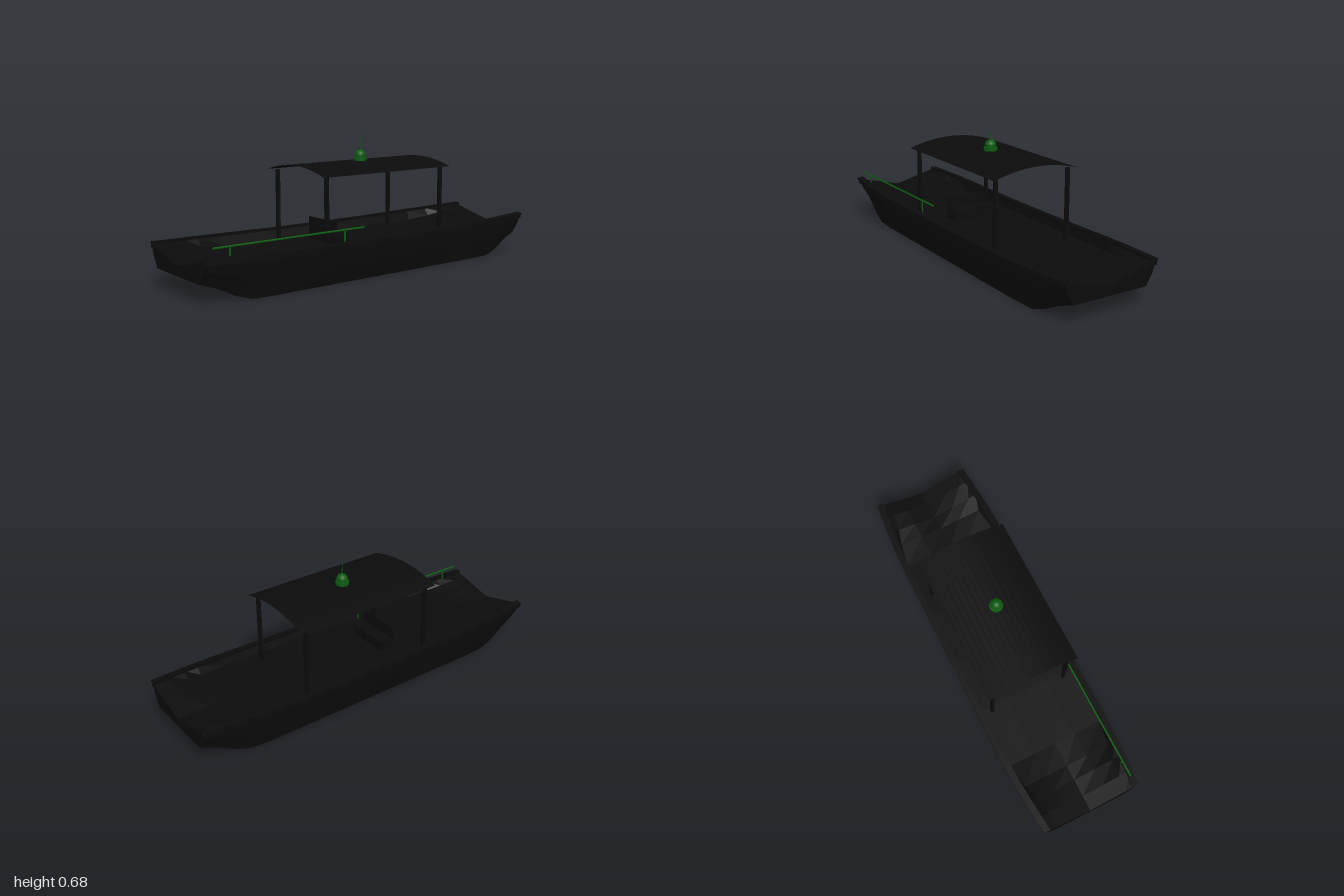
import * as THREE from 'three';

const dark = new THREE.MeshStandardMaterial({ color: 0x0b0b0b, side: THREE.DoubleSide, flatShading: true });
const green = new THREE.MeshStandardMaterial({ color: 0x0b5a10 });

function add(parent, name, geometry, material, x = 0, y = 0, z = 0) {
  const mesh = new THREE.Mesh(geometry, material);
  mesh.name = name;
  mesh.position.set(x, y, z);
  parent.add(mesh);
  return mesh;
}

// Joins cross-sections (arrays of Vector3 of equal length) into a surface
function loft(sections) {
  const n = sections[0].length, pos = [], idx = [];
  for (const s of sections) for (const p of s) pos.push(p.x, p.y, p.z);
  for (let i = 0; i < sections.length - 1; i++) {
    for (let j = 0; j < n - 1; j++) {
      const a = i * n + j, b = a + n;
      idx.push(a, a + 1, b, b, a + 1, b + 1);
    }
  }
  const g = new THREE.BufferGeometry();
  g.setAttribute('position', new THREE.Float32BufferAttribute(pos, 3));
  g.setIndex(idx);
  g.computeVertexNormals();
  return g;
}

// Mirrors a half section of [z, y] pairs (outside to middle) and places it at x
function section(x, half) {
  const left = half.map(([z, y]) => new THREE.Vector3(x, y, z));
  const right = half.slice(0, -1).reverse().map(([z, y]) => new THREE.Vector3(x, y, -z));
  return left.concat(right);
}

// Hull shape rules along the length
const lerp = THREE.MathUtils.lerp;
const stations = [-1, -0.92, -0.83, -0.75, -0.62, -0.3, 0, 0.3, 0.62, 0.75, 0.83, 0.92, 1];
const keelPoints = [[0, 0], [0.75, 0], [0.83, 0.025], [0.92, 0.07], [1, 0.097]];
function keel(x) {
  const a = Math.abs(x);
  for (let i = 1; i < keelPoints.length; i++) {
    const [x0, y0] = keelPoints[i - 1], [x1, y1] = keelPoints[i];
    if (a <= x1) return lerp(y0, y1, (a - x0) / (x1 - x0));
  }
  return 0.097;
}
const taper = x => Math.max(0, (Math.abs(x) - 0.62) / 0.38) ** 1.5;
const sheer = x => 0.192 + 0.016 * x * x;
const beam = x => 0.28 - 0.027 * taper(x);

export function createModel() {
  const boat = new THREE.Group();
  boat.name = 'canopyBoat';

  // Hull shell: flared sides and a flat bottom that rises at both ends
  add(boat, 'hull', loft(stations.map(x => {
    const y = keel(x), t = taper(x), top = sheer(x), w = beam(x);
    const bottom = lerp(0.241, 0.2, t);
    return section(x, [[w, top], [lerp(bottom, w, 0.65), lerp(y, top, 0.52)], [bottom, y], [0, y]]);
  })), dark);

  // Inner deck: flat amidships, rising to a shallow V at the ends
  add(boat, 'deck', loft(stations.map(x => {
    const e = THREE.MathUtils.smoothstep(Math.abs(x), 0.62, 0.95);
    const w = beam(x) - 0.004;
    return section(x, [[w, sheer(x)], [lerp(w - 0.015, 0.2, e), lerp(0.146, 0.193, e)],
      [0.115, lerp(0.145, 0.172, e)], [0, 0.143]]);
  })), dark);

  // End panels with a dipped top edge
  for (const s of [-1, 1]) {
    const shape = new THREE.Shape([[-0.2, 0.097], [0.2, 0.097], [0.253, 0.208], [0.2, 0.193], [0.115, 0.172],
      [0, 0.143], [-0.115, 0.172], [-0.2, 0.193], [-0.253, 0.208]].map(p => new THREE.Vector2(...p)));
    const panel = add(boat, 'endPanel', new THREE.ShapeGeometry(shape), dark, s, 0, 0);
    panel.rotation.y = s * Math.PI / 2;
  }

  // Gunwale rails and the rubbing strips below them
  for (const s of [-1, 1]) {
    const band = (inner, outer, low, high) => loft(stations.map(x => {
      const w = beam(x), y = sheer(x);
      return [[inner, low], [outer, low], [outer, high - 0.003], [inner, high], [inner, low]]
        .map(([dz, dy]) => new THREE.Vector3(x, y + dy, s * (w + dz)));
    }));
    add(boat, 'gunwale', band(-0.022, 0.012, -0.003, 0.01), dark);
    add(boat, 'rubbingStrip', band(0, 0.005, -0.022, -0.002), dark);
  }

  // Bench with backrest
  const bench = new THREE.Group();
  bench.name = 'bench';
  boat.add(bench);
  add(bench, 'benchSeat', new THREE.BoxGeometry(0.08, 0.05, 0.23), dark, -0.152, 0.182, 0);
  add(bench, 'benchBack', new THREE.BoxGeometry(0.01, 0.113, 0.23), dark, -0.19, 0.2135, 0);

  // Canopy posts
  for (const x of [-0.32, 0.413]) {
    for (const z of [-0.208, 0.208]) {
      add(boat, 'canopyPost', new THREE.BoxGeometry(0.017, 0.37, 0.017), dark, x, 0.327, z);
    }
  }

  // Thin arched canopy
  const arch = x => Array.from({ length: 17 }, (_, i) => {
    const u = i / 8 - 1;
    return new THREE.Vector3(x, 0.514 + 0.038 * (1 - u * u), -u * 0.24);
  });
  add(boat, 'canopy', loft([arch(-0.36), arch(0.453)]), dark);

  // Domed lamp with a stepped base and mast
  const profile = [[0, 0.551], [0.034, 0.551], [0.034, 0.568], [0.025, 0.568], [0.025, 0.579], [0.029, 0.579]];
  for (let i = 1; i <= 8; i++) {
    const a = i / 8 * Math.PI / 2;
    profile.push([0.029 * Math.cos(a), 0.579 + 0.028 * Math.sin(a)]);
  }
  const lampMaterial = green.clone();
  lampMaterial.flatShading = true;
  add(boat, 'lamp', new THREE.LatheGeometry(profile.map(p => new THREE.Vector2(...p)), 24), lampMaterial, 0.048, 0, 0);
  add(boat, 'lampMastBase', new THREE.CylinderGeometry(0.0025, 0.0025, 0.03, 8), green, 0.048, 0.618, 0);
  add(boat, 'lampMast', new THREE.CylinderGeometry(0.0008, 0.0015, 0.05, 8), green, 0.048, 0.656, 0);

  // Long pole carried on two stands along the left side
  const pole = add(boat, 'pole', new THREE.CylinderGeometry(0.005, 0.005, 0.83, 8), green, -0.535, 0.256, 0.241);
  pole.rotation.z = Math.PI / 2;
  for (const x of [-0.866, -0.237]) {
    add(boat, 'poleStand', new THREE.CylinderGeometry(0.004, 0.004, 0.106, 8), green, x, 0.199, 0.241);
  }

  return boat;
}
